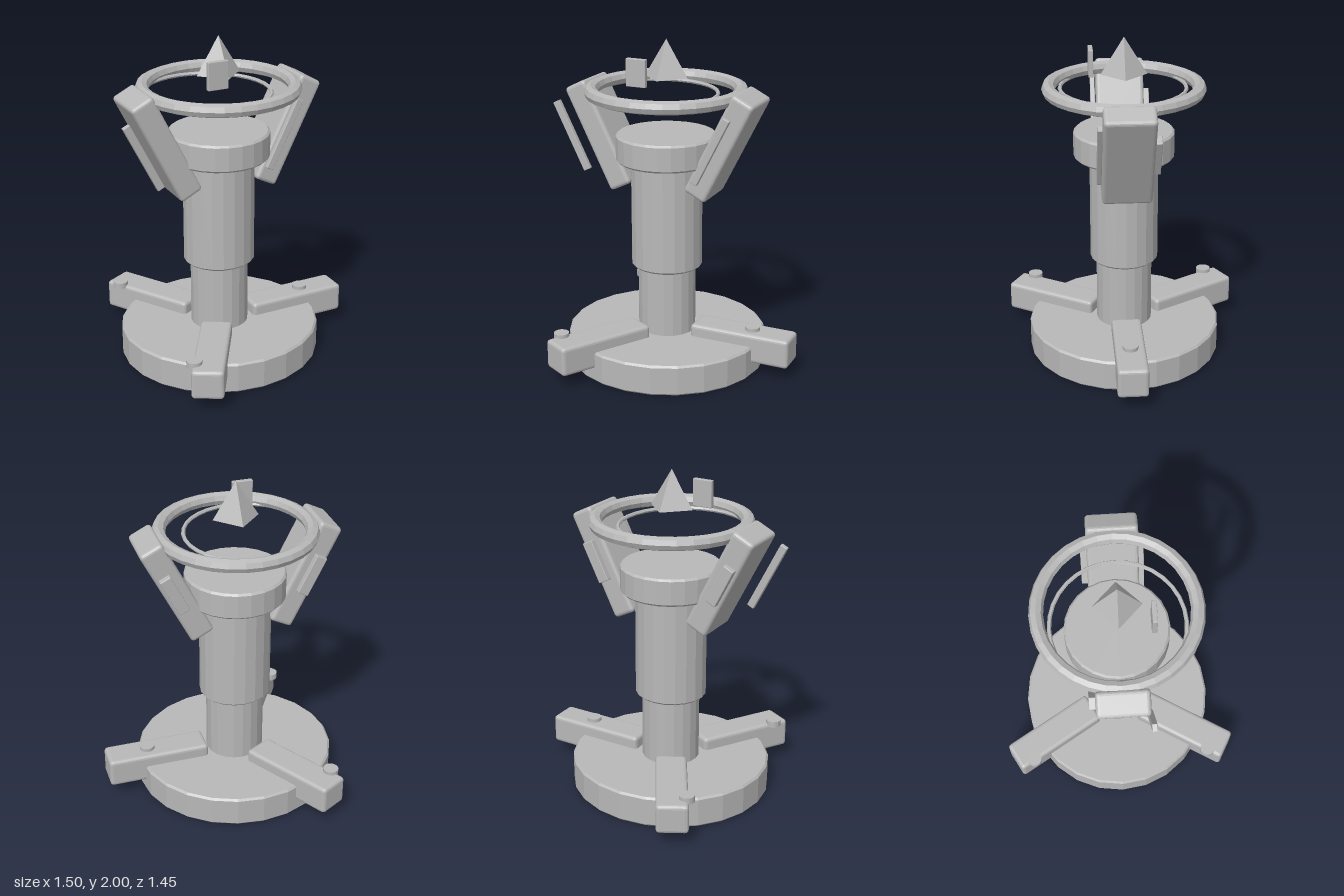
import * as THREE from 'three';
import { RoundedBoxGeometry } from 'three/addons/geometries/RoundedBoxGeometry.js';

export function createModel() {
  const model = new THREE.Group();
  model.name = 'pedestal';
  const grey = new THREE.MeshStandardMaterial({ color: 0xb8b8b8, flatShading: true });
  grey.name = 'plain grey';
  const CX = -0.083; // axis of the column

  const add = (name, geometry, x, y, z, parent = model) => {
    const mesh = new THREE.Mesh(geometry, grey);
    mesh.name = name;
    mesh.position.set(x, y, z);
    parent.add(mesh);
    return mesh;
  };

  // Upright cylinder with chamfered rims
  const drum = (name, r, y0, y1, sides, depth, c = 0.012) => {
    const profile = [[0, y0], [r - c, y0], [r, y0 + c], [r, y1 - c], [r - c, y1], [0, y1]]
      .map(([x, y]) => new THREE.Vector2(x, y));
    const mesh = add(name, new THREE.LatheGeometry(profile, sides), CX, 0, 0);
    mesh.scale.z = depth;
  };
  const block = (w, h, d, r) => new RoundedBoxGeometry(w, h, d, 2, r);

  // Base and column
  drum('base', 0.614, 0, 0.19, 24, 0.967);
  drum('lowerColumn', 0.178, 0.17, 0.62, 20, 0.962, 0.004);
  drum('upperColumn', 0.218, 0.605, 1.29, 20, 0.955);
  drum('columnCap', 0.304, 1.27, 1.435, 24, 1);

  // Three feet spread around the base
  const feet = new THREE.Group();
  feet.name = 'feet';
  feet.position.x = CX;
  feet.scale.z = 0.955;
  model.add(feet);
  for (let i = 0; i < 3; i++) {
    const arm = new THREE.Group();
    arm.name = 'foot';
    arm.rotation.y = i * Math.PI * 2 / 3;
    feet.add(arm);
    add('footBar', block(0.632, 0.18, 0.192, 0.022), 0.514, 0.175, 0, arm);
  }
  for (const [x, z] of [[0.49, 0], [-0.52, -0.56], [-0.52, 0.56]]) {
    add('footKnob', new THREE.CylinderGeometry(0.046, 0.046, 0.04, 16), x, 0.267, z);
  }

  // Leaning side arms with strips on front and back
  const lean = Math.atan(0.5);
  for (const s of [1, -1]) {
    const tilt = (mesh) => { mesh.rotation.z = -s * lean; };
    tilt(add('sideArm', block(0.148, 0.675, 0.298, 0.022), CX + s * 0.39, 1.408, 0));
    tilt(add('backStrip', block(0.07, 0.255, 0.04, 0.005), CX + s * 0.415, 1.42, -0.165));
    tilt(add('frontStrip', block(0.045, 0.45, 0.03, 0.004), s > 0 ? 0.268 : -0.631, 1.4, 0.163));
  }

  // Upper rings
  const ring = (name, r, tube, sides, x, y) => {
    const g = new THREE.TorusGeometry(r, tube, sides, 32);
    add(name, g.rotateX(Math.PI / 2), x, y, 0);
  };
  ring('upperRing', 0.445, 0.041, 8, CX, 1.695);
  ring('thinInnerRing', 0.377, 0.012, 6, -0.16, 1.672);

  // Floating pyramid and plate
  add('pyramid', new THREE.ConeGeometry(0.138, 0.225, 4), CX, 1.8875, 0);
  add('plate', block(0.125, 0.165, 0.028, 0.004), -0.183, 1.827, 0.192);

  return model;
}
